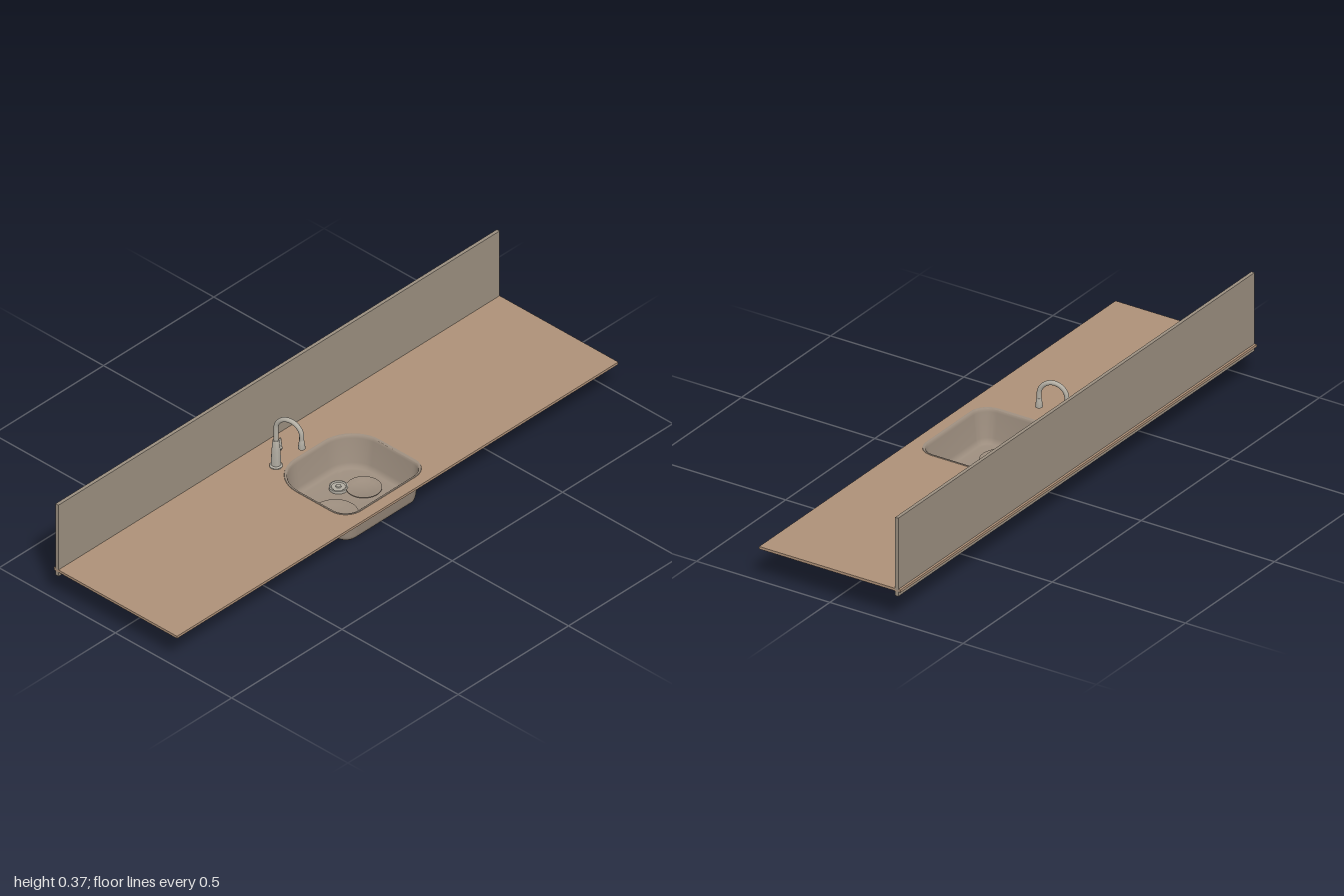
import * as THREE from 'three';
import { toCreasedNormals } from 'three/addons/utils/BufferGeometryUtils.js';

// Sink outline: rounded rectangle, tighter corners in front, wide ones at the back
function outline(inset) {
  const hx = 0.19 - inset, zf = 0.225 - inset, zb = -0.115 + inset;
  const rf = Math.max(0.065 - inset, 0.02), rb = Math.max(0.125 - inset, 0.04);
  const corners = [[hx - rf, zf - rf, rf], [-hx + rf, zf - rf, rf], [-hx + rb, zb + rb, rb], [hx - rb, zb + rb, rb]];
  const points = [];
  corners.forEach(([x, z, r], q) => {
    for (let i = 0; i <= 10; i++) {
      const a = (q + i / 10) * Math.PI / 2;
      points.push(new THREE.Vector2(x + r * Math.cos(a), z + r * Math.sin(a)));
    }
  });
  return points;
}

// Surface through stacked outlines, each given as [inset, height, scale about the centre]
function loftSink(rings) {
  const pos = [], index = [], n = 44, cz = 0.055;
  for (const [inset, y, s = 1] of rings) {
    for (const p of outline(inset)) pos.push(p.x * s, y, cz + (p.y - cz) * s);
  }
  for (let k = 0; k < rings.length - 1; k++) {
    for (let i = 0; i < n; i++) {
      const a = k * n + i, b = k * n + (i + 1) % n;
      index.push(a, a + n, b, b, a + n, b + n);
    }
  }
  const g = new THREE.BufferGeometry();
  g.setAttribute('position', new THREE.Float32BufferAttribute(pos, 3));
  g.setIndex(index);
  return toCreasedNormals(g, 0.7);
}

function lathe(profile, segments = 32) {
  const g = new THREE.LatheGeometry(profile.map(([r, y]) => new THREE.Vector2(r, y)), segments);
  return toCreasedNormals(g, 0.6);
}

export function createModel() {
  const model = new THREE.Group();
  const material = (name, color) => {
    const m = new THREE.MeshStandardMaterial({ color });
    m.name = name;
    return m;
  };
  const wood = material('tan counter', 0xae9178);
  const stone = material('taupe panel', 0x9b8f80);
  const basinMat = material('taupe basin', 0x9c8d7e);
  const metal = material('pale metal', 0xb3aea3);
  const add = (name, geometry, mat, x = 0, y = 0, z = 0, parent = model) => {
    const m = new THREE.Mesh(geometry, mat);
    m.name = name;
    m.position.set(x, y, z);
    parent.add(m);
    return m;
  };

  // Countertop with the sink cut-out
  const slab = new THREE.Shape([[-1, -0.265], [1, -0.265], [1, 0.265], [-1, 0.265]].map(p => new THREE.Vector2(...p)));
  slab.holes.push(new THREE.Path(outline(0.003)));
  const top = new THREE.ExtrudeGeometry(slab, { depth: 0.009, bevelEnabled: false });
  top.rotateX(Math.PI / 2);
  add('countertop', top, wood, 0, 0.12, 0);

  // Wall panel running along the back
  add('backsplash', new THREE.BoxGeometry(2, 0.275, 0.012), stone, 0, 0.2325, -0.251);

  // Basin: underside, outer wall, flange, rim, inner wall and floor
  add('basin', loftSink([
    [0.045, 0.001, 0], [0.035, 0.001], [0.027, 0.003], [0.021, 0.009], [0.018, 0.02],
    [0.007, 0.108], [-0.009, 0.109], [-0.009, 0.111], [0.0025, 0.111],
    [0, 0.1195], [0.001, 0.1215], [0.006, 0.1215], [0.009, 0.119], [0.011, 0.11],
    [0.021, 0.024], [0.025, 0.013], [0.031, 0.007], [0.04, 0.005], [0.045, 0.005, 0],
  ]), basinMat);

  // Round dishes lying on the basin floor
  for (const [x, z, r] of [[-0.082, 0.075, 0.074], [0.08, 0.044, 0.057]]) {
    add('dish', lathe([[0, 0], [r * 0.7, 0], [r, 0.007], [r, 0.009], [r - 0.003, 0.009], [r * 0.7, 0.003], [0, 0.003]], 40),
      basinMat, x, 0.005, z);
  }

  // Drain strainer, with its nut below the floor
  add('drain', lathe([[0.03, 0], [0.03, 0.01], [0.026, 0.011], [0.022, 0.008], [0.009, 0.008], [0.008, 0.012], [0, 0.012]]),
    metal, 0.028, 0.005, -0.016);
  add('drainNut', new THREE.CylinderGeometry(0.028, 0.028, 0.003, 32), basinMat, 0.028, 0.0015, -0.016);

  // Faucet, turned slightly toward the middle of the sink
  const faucet = new THREE.Group();
  faucet.name = 'faucet';
  faucet.position.set(-0.133, 0.12, -0.132);
  faucet.rotation.y = 0.24;
  model.add(faucet);
  add('faucetBody', lathe([[0, 0], [0.021, 0], [0.021, 0.003], [0.018, 0.006], [0.0158, 0.007], [0.0155, 0.03],
    [0.014, 0.06], [0.011, 0.097], [0.01, 0.1], [0, 0.1]]), metal, 0, 0, 0, faucet);

  // Gooseneck
  const R = 0.0462, path = [new THREE.Vector3(0, 0.095, 0), new THREE.Vector3(0, 0.12, 0)];
  for (let i = 0; i <= 12; i++) {
    const a = Math.PI * i / 12;
    path.push(new THREE.Vector3(0, 0.146 + R * Math.sin(a), R - R * Math.cos(a)));
  }
  path.push(new THREE.Vector3(0, 0.125, 2 * R));
  add('spout', new THREE.TubeGeometry(new THREE.CatmullRomCurve3(path), 60, 0.0078, 16), metal, 0, 0, 0, faucet);
  add('sprayHead', lathe([[0, 0], [0.011, 0], [0.012, 0.002], [0.0088, 0.028], [0.0078, 0.032], [0, 0.032]]),
    metal, 0, 0.1, 2 * R, faucet);

  // Side handle: short stub and a teardrop lever
  const stub = add('handleStub', new THREE.CylinderGeometry(0.007, 0.007, 0.022, 20), metal, 0.017, 0.056, 0, faucet);
  stub.rotation.z = Math.PI / 2;
  const lever = add('handleLever', lathe([[0, -0.014], [0.005, -0.012], [0.0068, -0.006], [0.0062, 0.004],
    [0.0042, 0.028], [0.003, 0.034], [0, 0.035]], 20), metal, 0.027, 0.056, 0, faucet);
  lever.scale.x = 0.7;

  return model;
}
